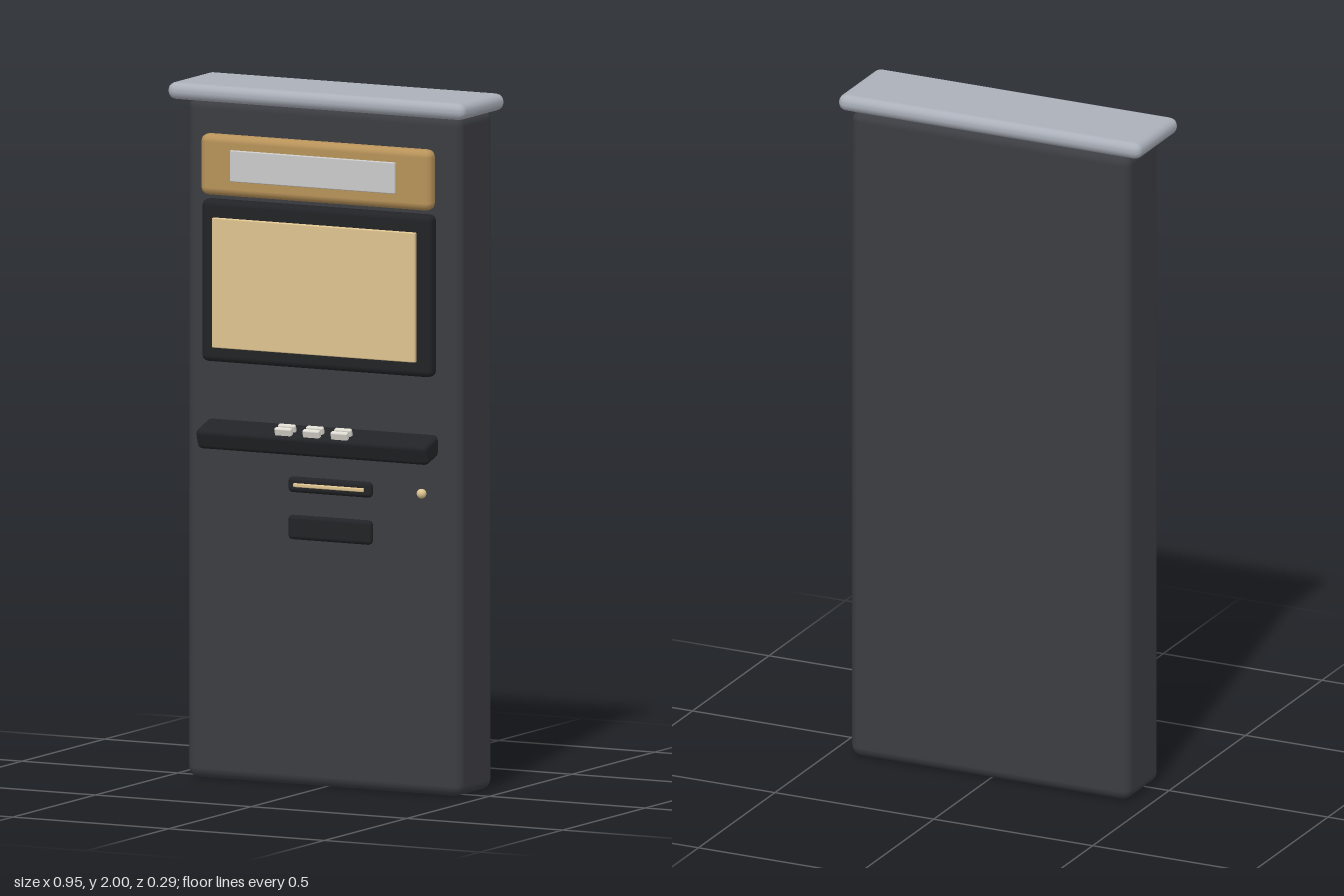
import * as THREE from 'three';
import { RoundedBoxGeometry } from 'three/addons/geometries/RoundedBoxGeometry.js';

const paint = (color) => new THREE.MeshStandardMaterial({ color });
const charcoal = paint(0x3c3d42);
const black = paint(0x222326);
const steel = paint(0xabb0ba);
const gold = paint(0xb8935a);
const cream = paint(0xe0c590);
const silver = paint(0xcccccc);
const white = paint(0xdedcd2);

export function createModel() {
  const model = new THREE.Group();

  // Rounded block given by its extents on x, y and z
  function block(name, material, [x0, x1], [y0, y1], [z0, z1], radius, parent = model) {
    const geometry = new RoundedBoxGeometry(x1 - x0, y1 - y0, z1 - z0, 2, radius);
    const mesh = new THREE.Mesh(geometry, material);
    mesh.position.set((x0 + x1) / 2, (y0 + y1) / 2, (z0 + z1) / 2);
    mesh.name = name;
    parent.add(mesh);
    return mesh;
  }

  // Cabinet and overhanging top
  block('cabinet', charcoal, [-0.44, 0.44], [0.005, 1.955], [-0.142, 0.067], 0.03);
  block('topCap', steel, [-0.477, 0.477], [1.951, 2], [-0.147, 0.118], 0.0235);

  // Header sign
  block('headerFrame', gold, [-0.37, 0.37], [1.685, 1.86], [0.068, 0.119], 0.022);
  block('headerPanel', silver, [-0.267, 0.263], [1.73, 1.82], [0.105, 0.127], 0.003);

  // Display
  block('screenBezel', black, [-0.37, 0.368], [1.207, 1.672], [0.06, 0.109], 0.018);
  block('screen', cream, [-0.328, 0.324], [1.25, 1.622], [0.1, 0.121], 0.003);

  // Sloping control shelf with paired keys
  const controls = new THREE.Group();
  controls.name = 'controlShelf';
  controls.position.set(0, 1, 0.09);
  controls.rotation.x = 0.3;
  model.add(controls);
  block('shelf', black, [-0.37, 0.37], [-0.03, 0.03], [-0.05, 0.05], 0.014, controls);
  for (const x of [-0.09, 0, 0.09]) {
    for (const z of [0.01, 0.033]) {
      block('key', white, [x - 0.027, x + 0.027], [0.024, 0.05], [z - 0.008, z + 0.008], 0.005, controls);
    }
  }

  // Card slot, tray and round lock
  block('cardSlot', black, [-0.092, 0.175], [0.85, 0.895], [0.083, 0.108], 0.012);
  block('cardSlotTrim', cream, [-0.07, 0.155], [0.867, 0.878], [0.1, 0.116], 0.003);
  block('tray', black, [-0.092, 0.175], [0.715, 0.785], [0.083, 0.108], 0.012);

  const lock = new THREE.Mesh(new THREE.SphereGeometry(0.014, 16, 12), cream);
  lock.name = 'lock';
  lock.position.set(0.333, 0.873, 0.096);
  model.add(lock);

  return model;
}
